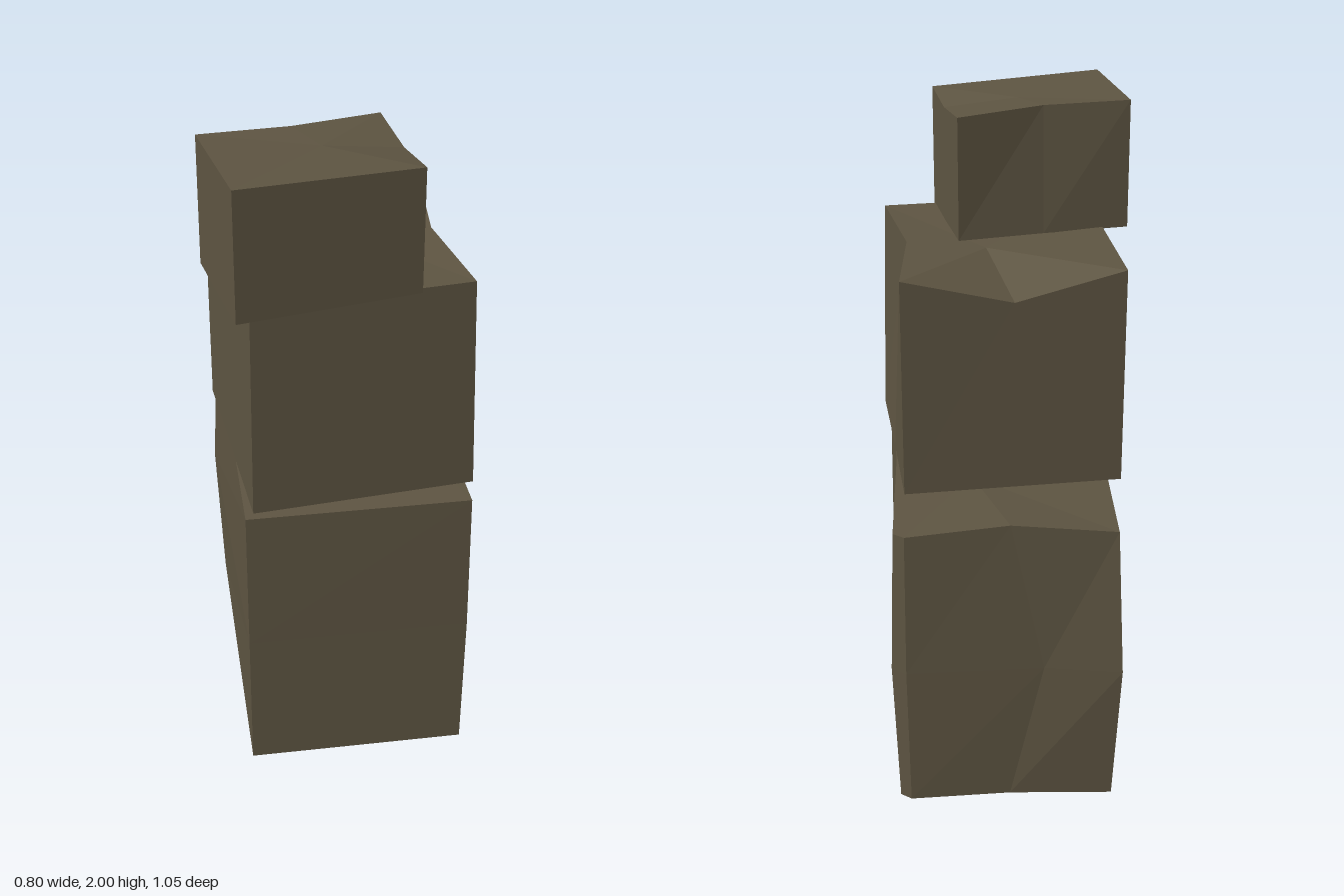
import * as THREE from 'three';

// Closed block from stacked rings of [x, y, z], each running front-left, front-right, back-right, back-left
function block(name, rings, material) {
  const positions = [];
  const n = rings[0].length;
  const tri = (a, b, c) => positions.push(...a, ...b, ...c);
  for (let r = 0; r < rings.length - 1; r++) {
    for (let i = 0; i < n; i++) {
      const j = (i + 1) % n;
      tri(rings[r][i], rings[r][j], rings[r + 1][j]);
      tri(rings[r][i], rings[r + 1][j], rings[r + 1][i]);
    }
  }
  // Caps fan out from the ring centre
  const centre = (ring) => [0, 1, 2].map((k) => ring.reduce((s, p) => s + p[k], 0) / n);
  const bottom = rings[0], top = rings[rings.length - 1];
  for (let i = 0; i < n; i++) {
    const j = (i + 1) % n;
    tri(centre(bottom), bottom[j], bottom[i]);
    tri(centre(top), top[i], top[j]);
  }
  const geometry = new THREE.BufferGeometry();
  geometry.setAttribute('position', new THREE.Float32BufferAttribute(positions, 3));
  geometry.computeVertexNormals();
  const mesh = new THREE.Mesh(geometry, material);
  mesh.name = name;
  return mesh;
}

// Ring of [x, z, optional lift] points at height y
const ring = (y, points) => points.map(([x, z, lift = 0]) => [x, y + lift, z]);

export function createModel() {
  const group = new THREE.Group();
  group.name = 'stackedStones';
  const stone = new THREE.MeshStandardMaterial({ color: 0x5e5542, flatShading: true });
  stone.name = 'brown stone';

  // Large base stone with a chamfered corner and a bulging back
  const base = (lift) => [
    [-0.35, 0.466], [0.305, 0.525], [0.33, 0.05], [0.385, -0.41],
    [0.355, -0.437], [0.05, -0.452, lift], [-0.26, -0.495],
  ];
  const bulge = [
    [-0.35, 0.466], [0.31, 0.525], [0.345, 0.05], [0.4, -0.4],
    [0.36, -0.437], [-0.05, -0.467], [-0.277, -0.525],
  ];
  group.add(block('baseStone', [
    ring(0, base(0)), ring(0.465, bulge), ring(0.932, base(0.023)),
  ], stone));

  // Middle stone, its top edge notched on the side and sagging at the back
  group.add(block('middleStone', [
    ring(0.942, [[-0.325, 0.455], [0.33, 0.45], [0.328, 0.12], [0.33, -0.2], [0, -0.2], [-0.325, -0.2]]),
    ring(1.615, [[-0.32, 0.455], [0.31, 0.447], [0.275, 0.12], [0.328, -0.204, 0.005], [0, -0.2, -0.08], [-0.325, -0.2]]),
  ], stone));

  // Small overhanging top stone
  group.add(block('topStone', [
    ring(1.61, [[-0.367, 0.513], [0.153, 0.465], [0.137, 0.29], [0.12, 0.117], [-0.14, 0.145], [-0.4, 0.165]]),
    ring(2, [[-0.367, 0.513], [0.153, 0.465, -0.018], [0.137, 0.3, -0.036], [0.12, 0.117, -0.015], [-0.14, 0.17, -0.004], [-0.4, 0.172]]),
  ], stone));

  return group;
}
